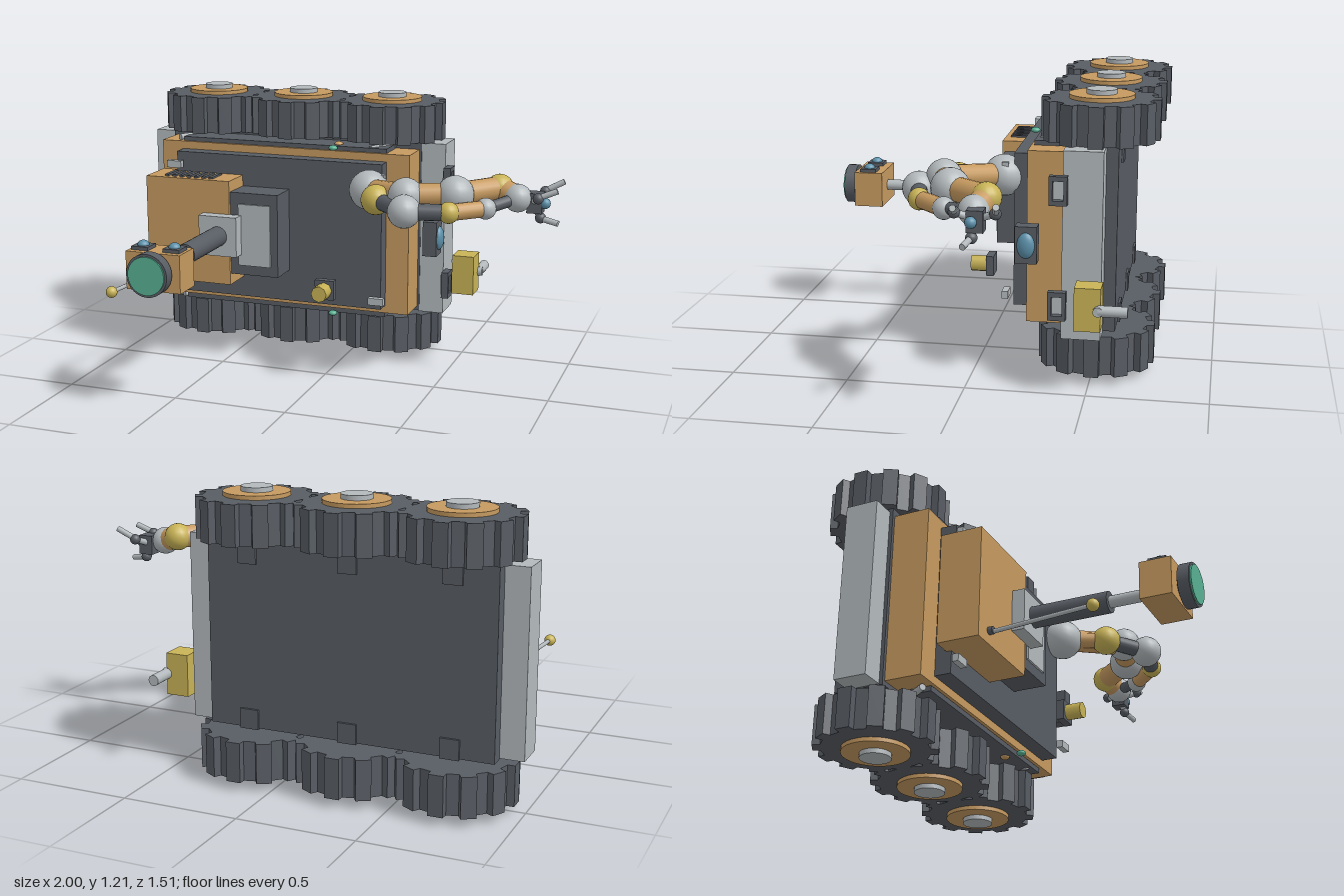
import * as THREE from 'three';

const mat = (name, color, flatShading = false) => {
  const m = new THREE.MeshStandardMaterial({ color });
  m.name = name;
  m.flatShading = flatShading;
  return m;
};

export function createModel() {
  const root = new THREE.Group();
  root.name = 'rover';
  const orange = mat('ochre', 0xc69a60);
  const dark = mat('slate', 0x585d64);
  const light = mat('silver', 0xb3b9bc);
  const yellow = mat('brass', 0xc8b356);
  const blue = mat('blueGlass', 0x5c91ab);
  const green = mat('greenGlass', 0x58b092);

  const add = (name, geo, m, x = 0, y = 0, z = 0, parent = root) => {
    const mesh = new THREE.Mesh(geo, m);
    mesh.name = name;
    mesh.position.set(x, y, z);
    parent.add(mesh);
    return mesh;
  };
  // box given by its lower and upper limits
  const box = (name, m, x0, x1, y0, y1, z0, z1) =>
    add(name, new THREE.BoxGeometry(x1 - x0, y1 - y0, z1 - z0), m,
      (x0 + x1) / 2, (y0 + y1) / 2, (z0 + z1) / 2);
  // cylinder between two points
  const rod = (name, m, a, b, r, sides = 16, r2 = r) => {
    const p = new THREE.Vector3(...a), q = new THREE.Vector3(...b);
    const d = q.clone().sub(p);
    const mesh = add(name, new THREE.CylinderGeometry(r2, r, d.length(), sides), m,
      ...p.clone().add(q).multiplyScalar(0.5).toArray());
    mesh.quaternion.setFromUnitVectors(new THREE.Vector3(0, 1, 0), d.normalize());
    return mesh;
  };
  const ball = (name, m, p, r) => add(name, new THREE.SphereGeometry(r, 18, 12), m, ...p);
  const MID = 0.6025; // mirror plane between the two wheel rows

  // hull
  box('chassis', dark, -0.9, 0.32, 0.22, 1.0, -0.6, -0.385);
  box('hull', orange, -0.885, 0.31, 0.24, 0.97, -0.385, -0.228);
  box('deckPlate', dark, -0.78, 0.205, 0.275, 0.935, -0.23, -0.158);
  box('rightBumper', light, 0.315, 0.43, 0.215, 1.0, -0.55, -0.388);
  box('leftBumper', light, -1.0, -0.9, 0.225, 0.985, -0.54, -0.4);

  // toothed wheel outline, extruded along its axle
  const tread = new THREE.Shape();
  const N = 12;
  for (let i = 0; i < N; i++) {
    const c = (i / N) * Math.PI * 2;
    [[-0.15, 0.216], [-0.125, 0.247], [0.125, 0.247], [0.15, 0.216]].forEach(([o, r], k) => {
      const x = Math.cos(c + o) * r, y = Math.sin(c + o) * r;
      if (i + k === 0) tread.moveTo(x, y); else tread.lineTo(x, y);
    });
  }
  tread.closePath();
  const treadGeo = new THREE.ExtrudeGeometry(tread, { depth: 0.168, bevelEnabled: false });
  treadGeo.translate(0, 0, -0.084).rotateX(Math.PI / 2);

  for (const s of [-1, 1]) {
    const Y = (d) => MID + s * d; // distance outward from the middle
    for (const x of [-0.72, -0.29, 0.142]) {
      add('wheel', treadGeo, dark, x, Y(0.482), -0.51);
      rod('hubDisc', orange, [x, Y(0.55), -0.51], [x, Y(0.583), -0.51], 0.136, 32);
      rod('hubCap', light, [x, Y(0.57), -0.51], [x, Y(0.6025), -0.51], 0.064, 24);
      rod('axle', light, [x, Y(0.37), -0.51], [x, Y(0.41), -0.51], 0.06);
      box('suspensionPad', dark, x - 0.04, x + 0.04, Y(0.345) - 0.042, Y(0.345) + 0.042, -0.61, -0.56);
    }
    box('sideRail', dark, -0.78, 0.2, Y(0.376) - 0.011, Y(0.376) + 0.011, -0.385, -0.24);
    for (const x of [-0.78, 0.15])
      rod('suspensionLink', light, [x - 0.03, Y(0.38), -0.26], [x + 0.04, Y(0.38), -0.37], 0.014, 10);
    // side marker lamps
    ball('markerLamp', green, [-0.04, Y(0.383), -0.212], 0.02).scale.set(1, 0.6, 1);
    ball('markerStud', orange, [-0.04, Y(0.388), -0.29], 0.02).scale.set(1, 0.6, 1);
    // deck clips
    for (const x of [-0.775, 0.195])
      box('deckClip', light, x - 0.035, x + 0.035, Y(0.28) - 0.016, Y(0.28) + 0.016, -0.137, -0.11);
    // tie-down frames on the right bumper
    const frame = new THREE.Shape([[-0.037, -0.06], [0.037, -0.06], [0.037, 0.06], [-0.037, 0.06]]
      .map((p) => new THREE.Vector2(...p)));
    frame.holes.push(new THREE.Path([[-0.022, -0.04], [-0.022, 0.04], [0.022, 0.04], [0.022, -0.04]]
      .map((p) => new THREE.Vector2(...p))));
    const frameGeo = new THREE.ExtrudeGeometry(frame, { depth: 0.032, bevelEnabled: false });
    add('tieDownFrame', frameGeo.rotateY(Math.PI / 2), dark, 0.435, Y(0.24), -0.373);
    box('tieDownPlate', light, 0.43, 0.438, Y(0.24) - 0.045, Y(0.24) + 0.045, -0.4, -0.345);
  }

  // equipment box with louvres
  box('equipmentBox', orange, -0.86, -0.455, 0.37, 0.845, -0.18, 0);
  for (let i = 0; i < 7; i++) {
    const x = -0.77 + i * 0.036;
    box('louvre', dark, x - 0.009, x + 0.009, 0.843, 0.853, -0.13, -0.025);
  }
  // antenna
  rod('antennaBase', dark, [-0.775, 0.425, 0], [-0.775, 0.425, 0.02], 0.016);
  rod('antennaRod', light, [-0.77, 0.422, 0.01], [-0.812, 0.425, 0.44], 0.009, 10);
  ball('antennaTip', yellow, [-0.813, 0.425, 0.45], 0.025);

  // instrument block
  box('instrumentBlock', dark, -0.455, -0.23, 0.42, 0.795, -0.165, -0.013);
  box('instrumentPanel', light, -0.415, -0.263, 0.465, 0.745, -0.013, -0.004);

  // camera mast
  box('mastBase', light, -0.58, -0.4, 0.515, 0.695, -0.002, 0.055);
  rod('mastLower', dark, [-0.49, 0.605, 0.05], [-0.49, 0.605, 0.39], 0.045, 20);
  rod('mastUpper', light, [-0.49, 0.605, 0.38], [-0.49, 0.605, 0.565], 0.025);
  box('cameraHead', orange, -0.61, -0.37, 0.525, 0.685, 0.558, 0.69);
  rod('lensMount', dark, [-0.49, 0.605, 0.685], [-0.49, 0.605, 0.705], 0.06, 24);
  rod('lensBarrel', dark, [-0.49, 0.605, 0.7], [-0.49, 0.605, 0.748], 0.09, 28);
  rod('mainLens', green, [-0.49, 0.605, 0.745], [-0.49, 0.605, 0.755], 0.08, 28);
  for (const x of [-0.56, -0.42]) {
    box('sensorMount', dark, x - 0.037, x + 0.037, 0.685, 0.7, 0.591, 0.665);
    ball('sensorLens', blue, [x, 0.7, 0.628], 0.025).scale.y = 0.8;
  }

  // deck valve
  box('valvePlate', dark, -0.053, 0.035, 0.342, 0.43, -0.042, -0.008);
  rod('valveKnob', yellow, [-0.01, 0.385, -0.01], [-0.01, 0.385, 0.062], 0.036, 8);

  // right side lamp and canister
  box('sideLampMount', dark, 0.383, 0.445, 0.53, 0.685, -0.288, -0.198);
  ball('sideLamp', blue, [0.443, 0.607, -0.243], 1).scale.set(0.025, 0.054, 0.037);
  box('canister', yellow, 0.455, 0.555, 0.295, 0.475, -0.56, -0.453);
  rod('canisterPipe', light, [0.555, 0.385, -0.55], [0.555, 0.385, -0.668], 0.023);
  rod('canisterElbow', light, [0.54, 0.385, -0.55], [0.575, 0.385, -0.55], 0.02);

  // arm: upper chain of joints
  const A = [[0.163, 0.83, -0.11], [0.39, 0.865, 0.1], [0.585, 0.87, 0.035],
    [0.735, 0.875, -0.135], [0.82, 0.845, -0.1]];
  const ar = [0.088, 0.075, 0.08, 0.06, 0.06];
  A.forEach((p, i) => {
    ball('armJoint', i === 3 ? yellow : light, p, ar[i]);
    if (i) rod('armSegment', orange, A[i - 1], p, 0.05, 18);
  });
  // arm: lower chain of joints
  const B = [A[0], [0.25, 0.83, 0.068], [0.413, 0.82, 0.2], [0.59, 0.82, 0.16], [0.715, 0.82, 0.035], A[4]];
  const br = [0, 0.065, 0.07, 0.045, 0.045];
  B.forEach((p, i) => {
    if (br[i]) ball('armActuatorJoint', i % 2 ? yellow : light, p, br[i]);
    if (i) rod('armActuator', i === 1 || i === 4 ? orange : dark, B[i - 1], p, i === 5 ? 0.025 : 0.035);
  });

  // gripper
  box('gripperPalm', dark, 0.86, 0.925, 0.785, 0.87, -0.155, -0.09);
  ball('gripperLens', blue, [0.935, 0.828, -0.11], 0.023);
  for (const [y, z, ty, tz] of [[0.86, -0.2, 0.905, -0.215], [0.86, -0.045, 0.895, -0.055], [0.765, -0.11, 0.75, -0.09]]) {
    rod('fingerBase', light, [0.88, 0.828, -0.12], [0.917, y, z], 0.014, 10);
    ball('fingerKnuckle', dark, [0.917, y, z], 0.023);
    rod('fingerTip', light, [0.91, y, z], [0.995, ty, tz], 0.013, 10);
  }
  return root;
}
